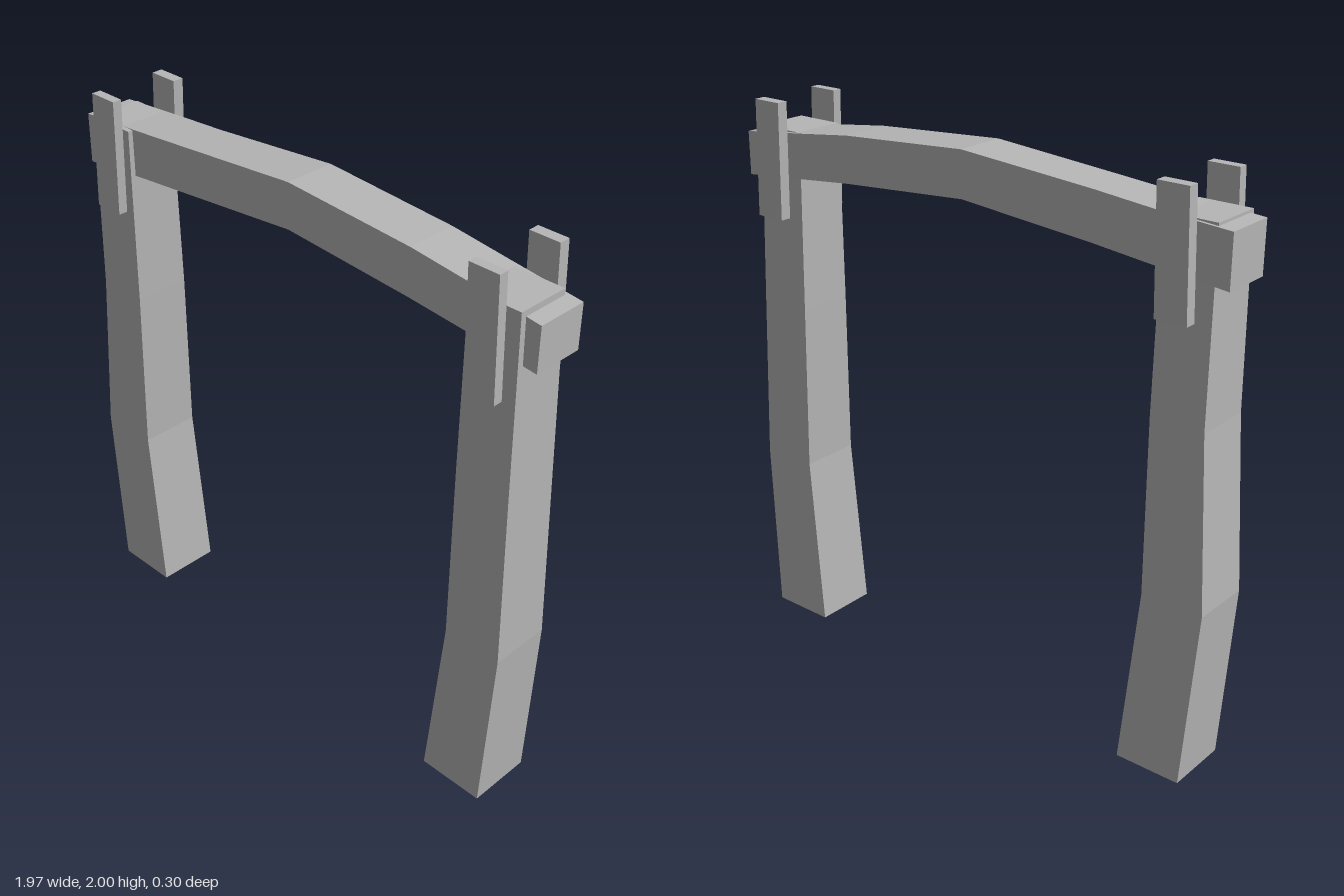
import * as THREE from 'three';

// Lofts four-cornered rings (counter-clockwise seen from the end cap) into a faceted solid.
function loft(rings, capStart, capEnd) {
  const pos = [];
  const quad = (a, b, c, d) => pos.push(...a, ...b, ...c, ...a, ...c, ...d);
  for (let i = 0; i < rings.length - 1; i++) {
    for (let j = 0; j < 4; j++) {
      const k = (j + 1) % 4;
      quad(rings[i][j], rings[i][k], rings[i + 1][k], rings[i + 1][j]);
    }
  }
  if (capStart) quad(...[...rings[0]].reverse());
  if (capEnd) quad(...rings[rings.length - 1]);
  const geometry = new THREE.BufferGeometry();
  geometry.setAttribute('position', new THREE.Float32BufferAttribute(pos, 3));
  geometry.computeVertexNormals();
  return geometry;
}

// Ring lying flat at height y, for upright parts
const flatRing = ([y, x0, x1, z0, z1]) => [[x0, y, z1], [x1, y, z1], [x1, y, z0], [x0, y, z0]];
// Ring standing across x, for the beam
const crossRing = ([x, y0, y1, z0, z1]) => [[x, y0, z1], [x, y0, z0], [x, y1, z0], [x, y1, z1]];

export function createModel() {
  const group = new THREE.Group();
  const wood = new THREE.MeshStandardMaterial({ color: 0xb6b6b6, flatShading: true, side: THREE.DoubleSide });
  wood.name = 'grey wood';

  const add = (name, geometry) => {
    const mesh = new THREE.Mesh(geometry, wood);
    mesh.name = name;
    group.add(mesh);
  };

  // Bent posts, open underneath: y, x from, x to, z from, z to
  add('rightPost', loft([
    [0, -0.93, -0.69, -0.115, 0.12],
    [0.64, -0.975, -0.75, -0.105, 0.117],
    [1.25, -0.935, -0.742, -0.094, 0.114],
    [1.89, -0.93, -0.745, -0.08, 0.11],
  ].map(flatRing), false, true));
  add('leftPost', loft([
    [0, 0.69, 0.93, -0.115, 0.12],
    [0.64, 0.745, 0.96, -0.105, 0.117],
    [1.25, 0.74, 0.942, -0.094, 0.114],
    [1.89, 0.738, 0.925, -0.08, 0.11],
  ].map(flatRing), false, true));

  // Arched beam: x, y from, y to, z from, z to
  add('beam', loft([
    [-0.985, 1.7, 1.877, -0.09, 0.092],
    [-0.72, 1.728, 1.895, -0.092, 0.092],
    [-0.5, 1.748, 1.913, -0.086, 0.092],
    [0, 1.793, 1.953, -0.095, 0.09],
    [0.5, 1.756, 1.92, -0.096, 0.088],
    [0.72, 1.734, 1.893, -0.096, 0.086],
    [0.98, 1.708, 1.863, -0.095, 0.09],
  ].map(crossRing), true, true));

  // Tilted planks clamping the beam, front and back of each post
  for (const side of [-1, 1]) {
    const across = (a, b) => (side > 0 ? [a, b] : [-b, -a]);
    for (const [name, z0, z1] of [['Front', 0.116, 0.15], ['Back', -0.15, -0.11]]) {
      add((side > 0 ? 'left' : 'right') + name + 'Plank', loft([
        [1.588, ...across(0.775, 0.888), z0, z1],
        [2, ...across(0.763, 0.873), z0, z1],
      ].map(flatRing), true, true));
    }
  }
  return group;
}
